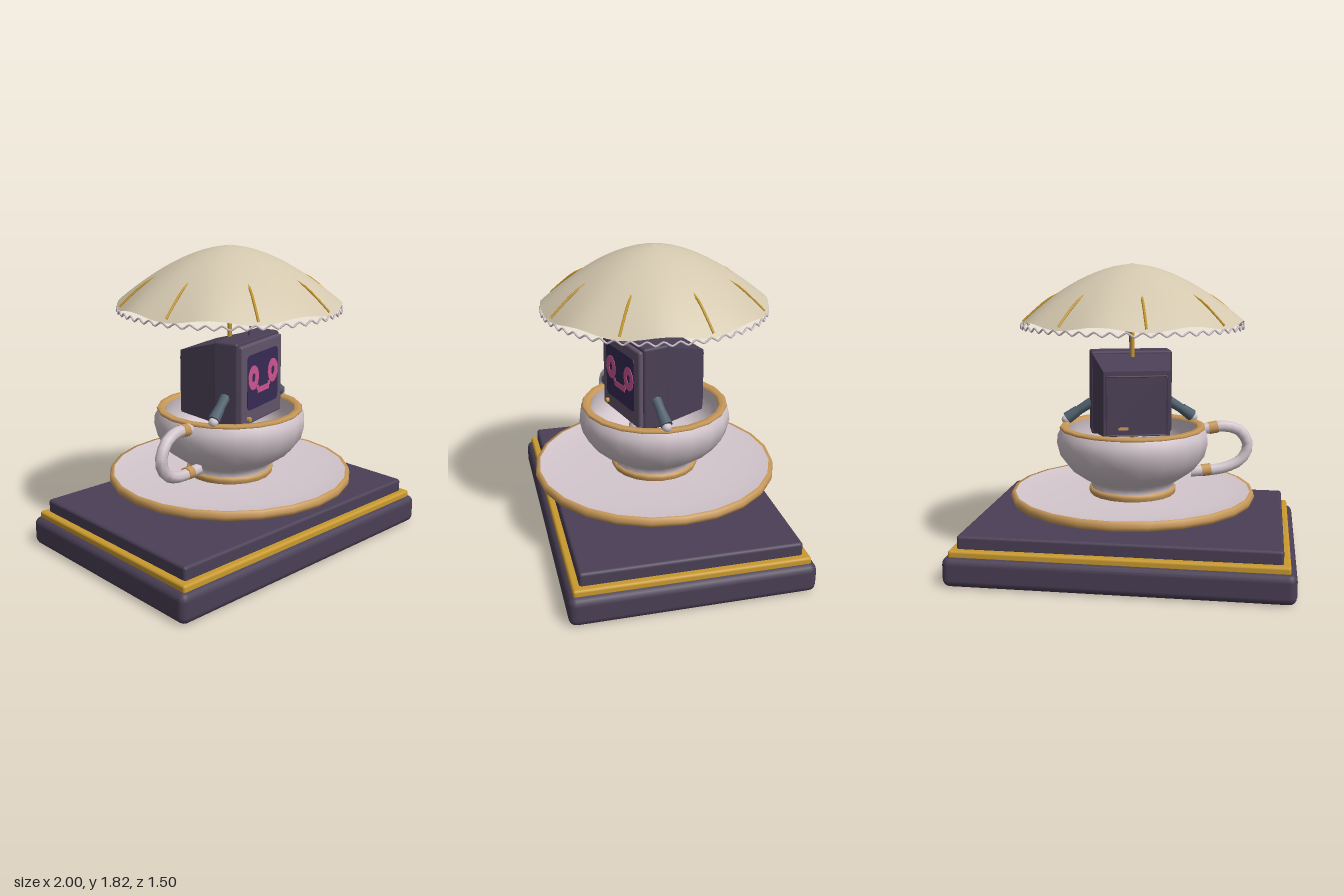
import * as THREE from 'three';
import { RoundedBoxGeometry } from 'three/addons/geometries/RoundedBoxGeometry.js';

const mat = (name, color, side = THREE.FrontSide) => {
  const m = new THREE.MeshStandardMaterial({ color, side });
  m.name = name;
  return m;
};
const V = (x, y, z) => new THREE.Vector3(x, y, z);

export function createModel() {
  const plum = mat('darkPlum', 0x4a3f55);
  const mauve = mat('mauveBezel', 0x62546b);
  const gold = mat('gold', 0xc99a2e);
  const amber = mat('amberTrim', 0xc8995a);
  const china = mat('china', 0xd4c7ce);
  const cream = mat('creamCloth', 0xd3c7ae, THREE.DoubleSide);
  const navy = mat('screenNavy', 0x372b55);
  const pink = mat('pink', 0xcc5591);
  const slate = mat('slate', 0x51606f);

  const model = new THREE.Group();
  const scene = new THREE.Group();
  scene.name = 'teacupAssembly';
  scene.rotation.y = Math.PI / 12;
  model.add(scene);

  const add = (parent, name, geo, material, x = 0, y = 0, z = 0) => {
    const m = new THREE.Mesh(geo, material);
    m.name = name;
    m.position.set(x, y, z);
    parent.add(m);
    return m;
  };
  const lathe = (pts, seg) =>
    new THREE.LatheGeometry(pts.map(([r, y]) => new THREE.Vector2(r, y)), seg);
  // Cylinder stretched between two points
  const rod = (parent, name, a, b, r0, r1, material, seg = 8) => {
    const d = b.clone().sub(a);
    const m = add(parent, name, new THREE.CylinderGeometry(r1, r0, d.length(), seg), material);
    m.position.copy(a).addScaledVector(d, 0.5);
    m.quaternion.setFromUnitVectors(V(0, 1, 0), d.normalize());
    return m;
  };
  const tube = (pts, r, seg, sides = 6, closed = false) =>
    new THREE.TubeGeometry(new THREE.CatmullRomCurve3(pts, closed), seg, r, sides, closed);

  // Stepped plinth
  const slab = (name, w, h, d, y, r, m) =>
    add(model, name, new RoundedBoxGeometry(w, h, d, 2, r), m, 0, y + h / 2, 0);
  slab('plinthBase', 2, 0.178, 1.42, 0, 0.045, plum);
  slab('plinthGoldBand', 1.93, 0.05, 1.36, 0.163, 0.015, gold);
  slab('plinthTop', 1.85, 0.09, 1.28, 0.2, 0.018, plum);

  // Saucer: china underside and top, amber edge
  add(scene, 'saucerUnderside', lathe([[0, 0.31], [0.36, 0.312], [0.58, 0.342], [0.72, 0.385]], 24), china);
  add(scene, 'saucerEdge', lathe([[0.715, 0.383], [0.742, 0.392], [0.75, 0.415], [0.742, 0.443], [0.722, 0.443]], 24), amber);
  add(scene, 'saucerTop', lathe([[0.724, 0.443], [0.6, 0.425], [0.35, 0.418], [0, 0.418]], 24), china);

  // Cup
  add(scene, 'cupFootRing', lathe([[0.262, 0.42], [0.27, 0.44], [0.268, 0.458], [0.25, 0.462]], 20), amber);
  add(scene, 'cupOutside', lathe([[0.255, 0.455], [0.25, 0.49], [0.3, 0.52], [0.385, 0.58],
    [0.445, 0.66], [0.465, 0.74], [0.46, 0.79], [0.442, 0.825]], 20), china);
  add(scene, 'cupRim', lathe([[0.442, 0.822], [0.448, 0.832], [0.44, 0.843], [0.405, 0.843], [0.395, 0.825]], 20), amber);
  add(scene, 'cupInside', lathe([[0.396, 0.828], [0.415, 0.74], [0.395, 0.65], [0.33, 0.57], [0.2, 0.53], [0, 0.525]], 20), china);

  // Cup handle with two amber bands
  add(scene, 'cupHandle', tube([V(-0.42, 0.8, 0), V(-0.56, 0.82, 0), V(-0.67, 0.79, 0), V(-0.725, 0.7, 0),
    V(-0.69, 0.61, 0), V(-0.58, 0.555, 0), V(-0.36, 0.535, 0)], 0.035, 16, 8), china);
  rod(scene, 'handleUpperBand', V(-0.475, 0.808, 0), V(-0.53, 0.817, 0), 0.039, 0.039, amber);
  rod(scene, 'handleLowerBand', V(-0.435, 0.54, 0), V(-0.49, 0.546, 0), 0.039, 0.039, amber);

  // Parasol canopy: dome with a gently scalloped edge
  const R = 0.668;
  const domeY = (r) => 1.815 - 0.34 * Math.pow(r / R, 1.75);
  const dome = [];
  for (let i = 0; i <= 12; i++) dome.push([Math.max(R * (1 - i / 12), 0.0001), domeY(R * (1 - i / 12))]);
  const canopy = lathe(dome, 64);
  const p = canopy.attributes.position;
  for (let i = 0; i < p.count; i++) {
    const r = Math.hypot(p.getX(i), p.getZ(i));
    const wave = Math.cos(8 * Math.atan2(p.getZ(i), p.getX(i)));
    p.setY(i, p.getY(i) - 0.014 * wave * Math.pow(r / R, 4));
  }
  canopy.computeVertexNormals();
  add(scene, 'parasolCanopy', canopy, cream);
  const cap = add(scene, 'parasolCap', new THREE.ConeGeometry(0.035, 0.012, 4), cream, 0, 1.815, 0);
  cap.rotation.y = -Math.PI / 12;

  // Ribs run beneath the cloth and emerge near the edge
  for (let k = 0; k < 8; k++) {
    const pts = [0.01, 0.15, 0.3, 0.42, 0.5, 0.58, 0.655].map((r) =>
      V(r, domeY(r) + (r < 0.45 ? -0.012 : 0.004) - 0.014 * Math.pow(r / R, 4), 0));
    add(scene, 'parasolRib', tube(pts, 0.008, 14, 5), gold).rotation.y = (k * Math.PI) / 4;
  }
  rod(scene, 'parasolPole', V(0, 0.53, 0), V(0, 1.8, 0), 0.013, 0.013, gold, 10);

  // Wavy lace trim
  const lace = [];
  for (let i = 0; i < 192; i++) {
    const a = (i / 192) * Math.PI * 2;
    lace.push(V(Math.cos(a) * 0.667, 1.452 + 0.012 * Math.sin(a * 48), Math.sin(a) * 0.667));
  }
  add(scene, 'laceTrim', tube(lace, 0.006, 384, 5, true), china);

  // Television-headed robot
  const robot = new THREE.Group();
  robot.name = 'robot';
  scene.add(robot);
  add(robot, 'robotCase', new RoundedBoxGeometry(0.5, 0.51, 0.165, 1, 0.015), plum, 0, 1.035, 0.122);
  const back = new THREE.BoxGeometry(0.48, 0.48, 0.27);
  const b = back.attributes.position;
  for (let i = 0; i < b.count; i++) {
    if (b.getZ(i) > 0) continue;
    b.setX(i, b.getX(i) * 0.82);
    b.setY(i, b.getY(i) > 0 ? 0.165 : -0.22);
  }
  back.computeVertexNormals();
  add(robot, 'robotTaperedBack', back, plum, 0, 1.035, -0.09);
  const wire = add(robot, 'robotBackFrame', tube([V(-0.18, 0.82, -0.235), V(0.18, 0.82, -0.235), V(0.18, 1.17, -0.235),
    V(-0.18, 1.17, -0.235)].flatMap((v, i, a) => [v, v.clone().lerp(a[(i + 1) % 4], 0.05), v.clone().lerp(a[(i + 1) % 4], 0.95)]),
  0.005, 64, 5, true), plum);
  wire.position.z = 0.002;
  add(robot, 'robotBackLabel', new THREE.BoxGeometry(0.06, 0.015, 0.008), amber, 0.08, 0.86, -0.226);

  // Bezel, screen and knob
  const panel = (w, h, r) => {
    const s = new THREE.Shape();
    const x = w / 2, y = h / 2;
    s.moveTo(-x + r, -y).lineTo(x - r, -y).quadraticCurveTo(x, -y, x, -y + r).lineTo(x, y - r)
      .quadraticCurveTo(x, y, x - r, y).lineTo(-x + r, y).quadraticCurveTo(-x, y, -x, y - r)
      .lineTo(-x, -y + r).quadraticCurveTo(-x, -y, -x + r, -y);
    return s;
  };
  const plate = (shape, depth = 0.006) =>
    new THREE.ExtrudeGeometry(shape, { depth, bevelEnabled: false, curveSegments: 8 });
  add(robot, 'bezel', new RoundedBoxGeometry(0.475, 0.48, 0.04, 1, 0.012), mauve, 0, 1.032, 0.21);
  add(robot, 'screen', plate(panel(0.36, 0.33, 0.035)), navy, 0, 1.045, 0.228);
  const knob = add(robot, 'knob', new THREE.CylinderGeometry(0.016, 0.016, 0.02, 8), gold, -0.17, 0.83, 0.238);
  knob.rotation.x = Math.PI / 2;

  // Face: ring eyes and a squared smile
  for (const s of [-1, 1]) {
    const eye = new THREE.Shape().absellipse(0, 0, 0.06, 0.074, 0, Math.PI * 2);
    eye.holes.push(new THREE.Path().absellipse(0, 0, 0.02, 0.027, 0, Math.PI * 2));
    add(robot, 'eye', plate(eye), pink, s * 0.115, 1.07, 0.231);
    add(robot, 'smileCorner', new THREE.BoxGeometry(0.028, 0.026, 0.006), pink, s * 0.066, 1.002, 0.234);
  }
  add(robot, 'smile', new THREE.BoxGeometry(0.135, 0.034, 0.006), pink, 0, 0.984, 0.2342);

  // Arms resting on the rim, legs inside the cup
  for (const s of [-1, 1]) {
    rod(robot, 'upperArm', V(s * 0.245, 0.965, 0.12), V(s * 0.345, 0.9, 0.13), 0.032, 0.028, slate);
    rod(robot, 'forearm', V(s * 0.325, 0.915, 0.13), V(s * 0.395, 0.865, 0.135), 0.032, 0.038, slate);
    add(robot, 'hand', new THREE.IcosahedronGeometry(0.03, 1), china, s * 0.4, 0.857, 0.137);
    rod(robot, 'leg', V(s * 0.1, 0.8, 0.08), V(s * 0.1, 0.6, 0.1), 0.028, 0.028, china);
    add(robot, 'shoe', new THREE.SphereGeometry(0.05, 10, 8), pink, s * 0.1, 0.59, 0.12).scale.set(0.9, 0.8, 1.3);
  }

  // Antenna
  rod(robot, 'antennaStem', V(0, 1.285, 0.13), V(0, 1.4, 0.157), 0.005, 0.005, plum, 6);
  add(robot, 'antennaBall', new THREE.IcosahedronGeometry(0.036, 1), china, 0, 1.42, 0.16);

  return model;
}
